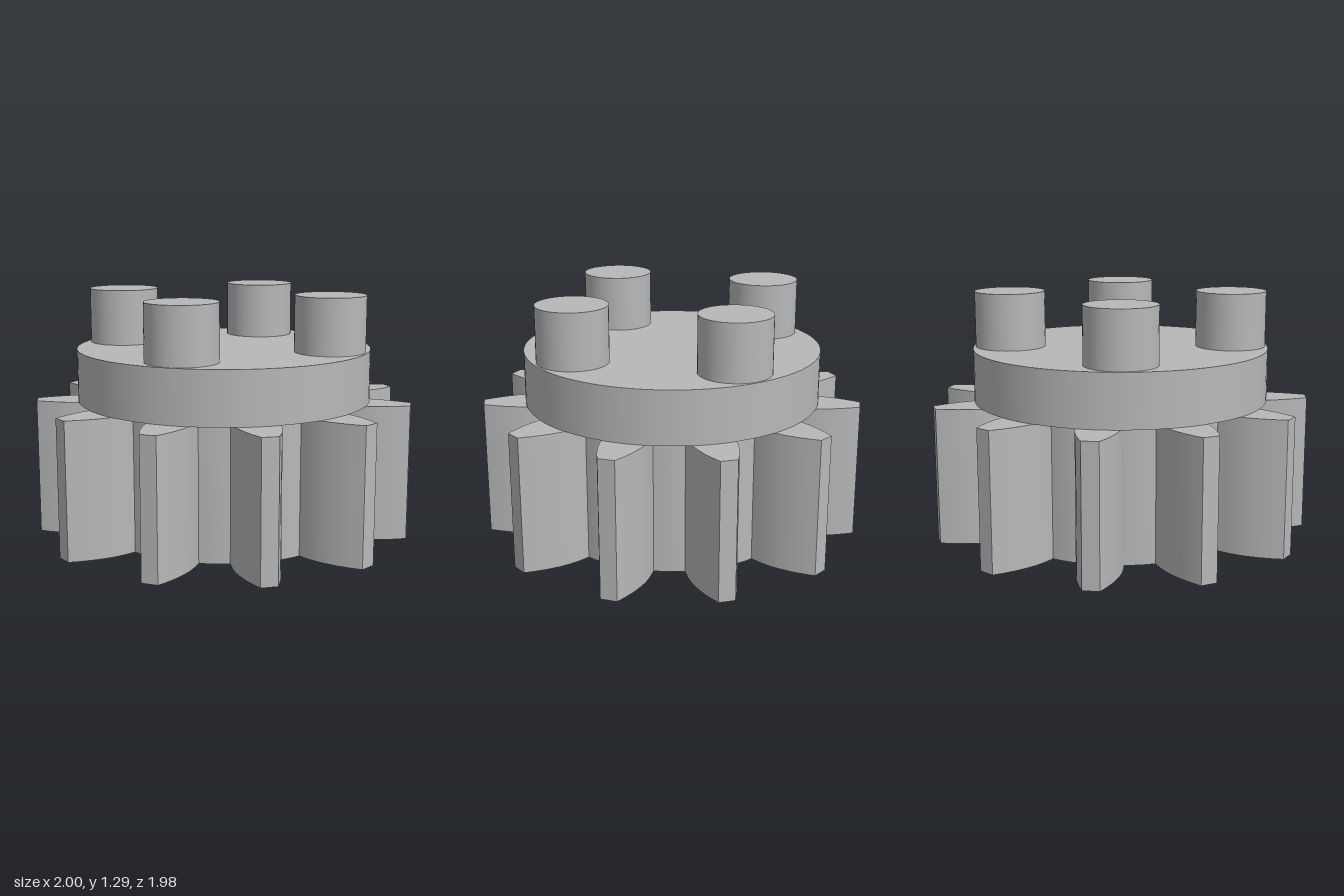
import * as THREE from 'three';
import { toCreasedNormals } from 'three/addons/utils/BufferGeometryUtils.js';

const TEETH = 11;
const GEAR_HEIGHT = 0.722;
const DISC_TOP = 1.0;
const PEG_TOP = 1.295;
const ROOT_RADIUS = 0.66;

// One tooth flank: [distance from the axis, half width]
const FLANK = [
  [0.65, 0.109], [0.72, 0.113], [0.775, 0.111], [0.83, 0.102],
  [0.89, 0.087], [0.95, 0.066], [1.003, 0.043],
];

function gearShape() {
  const points = [];
  const pitch = (Math.PI * 2) / TEETH;
  const add = (along, across, angle) => points.push(new THREE.Vector2(
    along * Math.sin(angle) + across * Math.cos(angle),
    -along * Math.cos(angle) + across * Math.sin(angle),
  ));
  for (let i = 0; i < TEETH; i++) {
    const angle = i * pitch;
    FLANK.forEach(([r, w]) => add(r, -w, angle));
    [...FLANK].reverse().forEach(([r, w]) => add(r, w, angle));
    // rounded valley between this tooth and the next
    for (const t of [0.4, 0.5, 0.6]) add(ROOT_RADIUS, 0, angle + pitch * t);
  }
  const shape = new THREE.Shape(points);
  const bore = new THREE.Path();
  bore.absarc(0, 0, 0.367, 0, Math.PI * 2, true);
  shape.holes.push(bore);
  return shape;
}

export function createModel() {
  const model = new THREE.Group();
  model.name = 'gearWithPegs';
  const grey = new THREE.MeshStandardMaterial({ color: 0xb8b8b8 });
  grey.name = 'grey';

  const addPart = (name, geometry, x, y, z) => {
    const mesh = new THREE.Mesh(geometry, grey);
    mesh.name = name;
    mesh.position.set(x, y, z);
    model.add(mesh);
  };

  // Toothed wheel, bored from below up to the disc
  const gear = new THREE.ExtrudeGeometry(gearShape(), {
    depth: GEAR_HEIGHT, bevelEnabled: false, curveSegments: 32,
  });
  gear.rotateX(-Math.PI / 2);
  const axisZ = -0.015;
  addPart('gear', toCreasedNormals(gear, 0.4), 0, 0, axisZ);

  // Round disc on top of the gear
  const discHeight = DISC_TOP - GEAR_HEIGHT;
  addPart('disc', new THREE.CylinderGeometry(0.784, 0.784, discHeight, 96),
    0, GEAR_HEIGHT + discHeight / 2, axisZ);

  // Four pegs
  const pegHeight = PEG_TOP - DISC_TOP;
  const peg = new THREE.CylinderGeometry(0.186, 0.186, pegHeight, 48);
  ['frontPeg', 'leftPeg', 'backPeg', 'rightPeg'].forEach((name, i) => {
    const angle = (i * Math.PI) / 2;
    addPart(name, peg, 0.588 * Math.sin(angle), DISC_TOP + pegHeight / 2,
      axisZ + 0.588 * Math.cos(angle));
  });

  return model;
}
